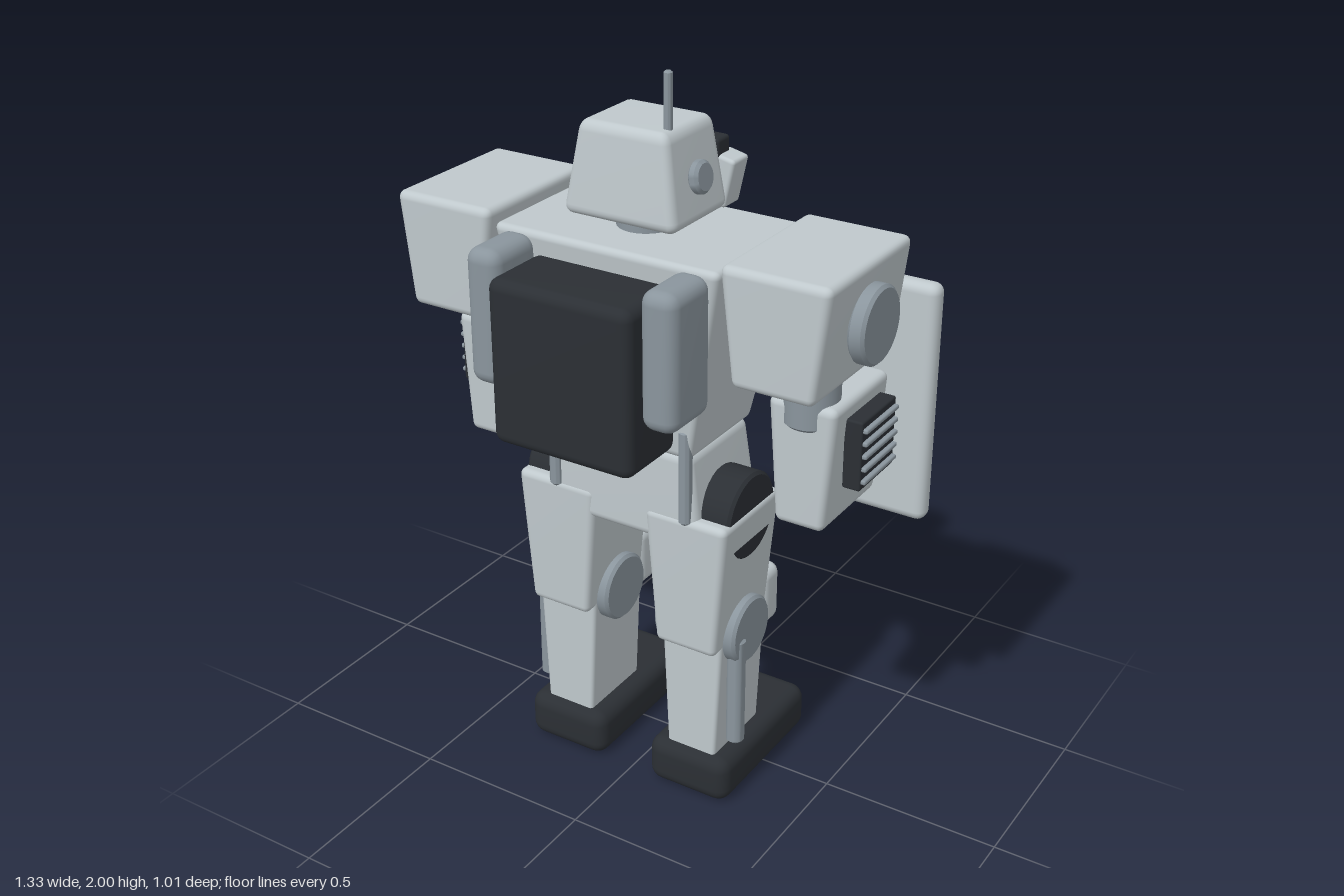
import * as THREE from 'three';
import { RoundedBoxGeometry } from 'three/addons/geometries/RoundedBoxGeometry.js';
import { mergeVertices, toCreasedNormals } from 'three/addons/utils/BufferGeometryUtils.js';

const mat = (color) => new THREE.MeshStandardMaterial({ color });
const LIGHT = mat(0xbfc8cc), MID = mat(0x8a959d), DARK = mat(0x2b2f34), CYAN = mat(0x2fb5c4);

// Rounded box between two y levels; [width, depth, z] given at the top and the bottom.
function block(parent, name, material, x, [y0, y1], top, bottom, r) {
  const h = y1 - y0;
  let g = new RoundedBoxGeometry(1, h, 1, 3, 0.0001);
  const w = Math.max(top[0], bottom[0]), d = Math.max(top[1], bottom[1]);
  g = new RoundedBoxGeometry(w, h, d, 3, Math.min(r, w / 2.01, h / 2.01, d / 2.01));
  g.deleteAttribute('uv');
  g.deleteAttribute('normal');
  g = mergeVertices(g, 1e-5);
  const p = g.attributes.position, mix = THREE.MathUtils.lerp;
  for (let i = 0; i < p.count; i++) {
    const t = p.getY(i) / h + 0.5;
    p.setX(i, p.getX(i) * mix(bottom[0], top[0], t) / w);
    p.setZ(i, p.getZ(i) * mix(bottom[1], top[1], t) / d + mix(bottom[2], top[2], t));
  }
  g.computeVertexNormals();
  const m = new THREE.Mesh(g, material);
  m.name = name;
  m.position.set(x, (y0 + y1) / 2, 0);
  parent.add(m);
  return m;
}

// Plain rounded box by centre and size.
function box(parent, name, material, [x, y, z], [w, h, d], r = 0.01) {
  const m = block(parent, name, material, x, [y - h / 2, y + h / 2], [w, d, 0], [w, d, 0], r);
  m.position.z = z;
  return m;
}

// Cylinder with chamfered rims along an axis.
function disc(parent, name, material, pos, r, len, axis = 'y', bevel = 0.008) {
  const h = len / 2, pts = [[0, -h], [r - bevel, -h], [r, bevel - h], [r, h - bevel], [r - bevel, h], [0, h]];
  const g = new THREE.LatheGeometry(pts.map(([a, b]) => new THREE.Vector2(a, b)), 32);
  const m = new THREE.Mesh(toCreasedNormals(g, 0.6), material);
  if (axis === 'x') m.rotation.z = -Math.PI / 2;
  if (axis === 'z') m.rotation.x = Math.PI / 2;
  m.name = name;
  m.position.set(...pos);
  parent.add(m);
  return m;
}

function part(parent, name) {
  const g = new THREE.Group();
  g.name = name;
  parent.add(g);
  return g;
}

function buildHead(body) {
  const head = part(body, 'head');
  disc(head, 'neck', MID, [0, 1.59, 0.11], 0.075, 0.1);
  block(head, 'skull', LIGHT, 0, [1.62, 1.86], [0.25, 0.22, 0.108], [0.33, 0.265, 0.112], 0.028);
  disc(head, 'antenna', MID, [0.101, 1.91, 0.168], 0.011, 0.18, 'y', 0.004);
  box(head, 'visor', DARK, [0, 1.765, -0.03], [0.275, 0.055, 0.06]);
  for (const x of [-0.075, 0, 0.075])
    box(head, 'visorLight', CYAN, [x, 1.762, -0.062], [0.036, 0.026, 0.016], 0.005);
  for (const s of [-1, 1]) {
    disc(head, 'ear', MID, [s * 0.158, 1.735, 0.113], 0.042, 0.03, 'x').rotation.z = -Math.PI / 2 + s * 0.16;
    box(head, 'cheekPlate', LIGHT, [s * 0.138, 1.685, -0.042], [0.062, 0.13, 0.075]).rotation.z = -s * 0.22;
  }
}

function buildTorso(body) {
  const torso = part(body, 'torso');
  block(torso, 'chest', LIGHT, 0, [1.04, 1.585], [0.655, 0.42, 0.1], [0.43, 0.3, 0.1], 0.02);
  block(torso, 'pelvis', LIGHT, 0, [0.785, 1.045], [0.42, 0.29, 0.1], [0.49, 0.31, 0.097], 0.025);

  // Chest panel with lights
  block(torso, 'chestPanel', DARK, 0, [1.32, 1.48], [0.43, 0.07, -0.11], [0.37, 0.06, -0.1], 0.01);
  block(torso, 'panelPoint', DARK, 0, [1.2, 1.33], [0.09, 0.06, -0.1], [0.02, 0.05, -0.085], 0.008);
  for (const x of [-0.113, 0, 0.113])
    box(torso, 'panelLight', CYAN, [x, 1.405, -0.147], [0.066, 0.035, 0.026], 0.006);

  for (const s of [-1, 1]) {
    box(torso, 'lapel', LIGHT, [s * 0.172, 1.255, -0.158], [0.25, 0.13, 0.05], 0.012)
      .rotation.set(0, s * 0.16, -s * 0.17);
    box(torso, 'chestVent', DARK, [s * 0.255, 1.46, -0.1], [0.06, 0.18, 0.02], 0.006);
    for (let i = 0; i < 5; i++)
      box(torso, 'chestVentSlat', DARK, [s * 0.255, 1.39 + i * 0.035, -0.112], [0.075, 0.016, 0.02], 0.006);
    disc(torso, 'waistPiston', MID, [s * 0.2, 0.99, 0.245], 0.018, 0.27);
    block(torso, 'backpackTube', MID, s * 0.252, [1.215, 1.575], [0.1, 0.18, 0.375], [0.1, 0.18, 0.375], 0.036);
  }
  block(torso, 'backpack', DARK, 0, [1.09, 1.53], [0.41, 0.215, 0.398], [0.41, 0.215, 0.398], 0.03);
}

function buildArm(body, s) {
  const arm = part(body, s > 0 ? 'leftArm' : 'rightArm'), x = s * 0.478;
  block(arm, 'shoulder', LIGHT, x, [1.31, 1.615], [0.295, 0.425, 0.107], [0.22, 0.425, 0.107], 0.022);
  disc(arm, 'shoulderDisc', MID, [s * 0.632, 1.46, 0.107], 0.1, 0.045, 'x');
  box(arm, 'shoulderStripe', CYAN, [x, 1.455, -0.118], [0.19, 0.04, 0.03], 0.007);
  disc(arm, 'upperArm', MID, [x, 1.25, 0.11], 0.072, 0.17);
  block(arm, 'forearm', LIGHT, x, [0.89, 1.235], [0.19, 0.295, 0.018], [0.135, 0.295, 0.018], 0.022);
  box(arm, 'forearmVent', DARK, [s * 0.588, 1.095, 0.007], [0.05, 0.19, 0.185], 0.006);
  for (let i = 0; i < 5; i++)
    box(arm, 'ventSlat', MID, [s * 0.614, 1.025 + i * 0.035, 0.007], [0.022, 0.013, 0.175], 0.005);
  disc(arm, 'barrel', DARK, [s * 0.476 - 0.043, 1.11, -0.245], 0.027, 0.52, 'z');
}

function buildLeg(body, s) {
  const leg = part(body, s > 0 ? 'leftLeg' : 'rightLeg'), x = s * 0.2;
  disc(leg, 'hipJoint', DARK, [x, 0.845, 0.105], 0.12, 0.23, 'x');
  block(leg, 'thigh', LIGHT, x, [0.475, 0.87], [0.245, 0.29, 0.11], [0.18, 0.27, 0.115], 0.02);
  box(leg, 'thighPanel', DARK, [x, 0.69, -0.035], [0.085, 0.21, 0.055], 0.008);
  disc(leg, 'kneeDisc', MID, [x, 0.505, 0.11], 0.095, 0.25, 'x');
  box(leg, 'kneeCap', LIGHT, [x, 0.515, -0.052], [0.19, 0.175, 0.095], 0.03);
  block(leg, 'shin', LIGHT, x, [0.1, 0.52], [0.185, 0.235, 0.097], [0.145, 0.235, 0.097], 0.012);
  box(leg, 'shinPlate', LIGHT, [x, 0.32, -0.035], [0.055, 0.31, 0.055], 0.008);
  for (let i = 0; i < 4; i++)
    box(leg, 'shinSlat', DARK, [x, 0.195 + i * 0.042, -0.03], [0.115, 0.018, 0.026], 0.006);
  disc(leg, 'shinPiston', MID, [s * 0.307, 0.335, 0.158], 0.025, 0.33);
  box(leg, 'foot', DARK, [x, 0.071, 0.012], [0.25, 0.138, 0.465], 0.04);
}

export function createModel() {
  const model = new THREE.Group();
  model.name = 'robot';
  const body = part(model, 'body');
  body.position.x = -0.012;
  buildHead(body);
  buildTorso(body);
  for (const s of [-1, 1]) {
    buildArm(body, s);
    buildLeg(body, s);
  }

  // Shield held on the left arm
  const shield = part(model, 'shield');
  box(shield, 'shieldPlate', LIGHT, [0.465, 1.14, -0.176], [0.4, 0.66, 0.06], 0.026);
  box(shield, 'shieldStripe', CYAN, [0.465, 1.268, -0.217], [0.27, 0.085, 0.03], 0.008);
  return model;
}
